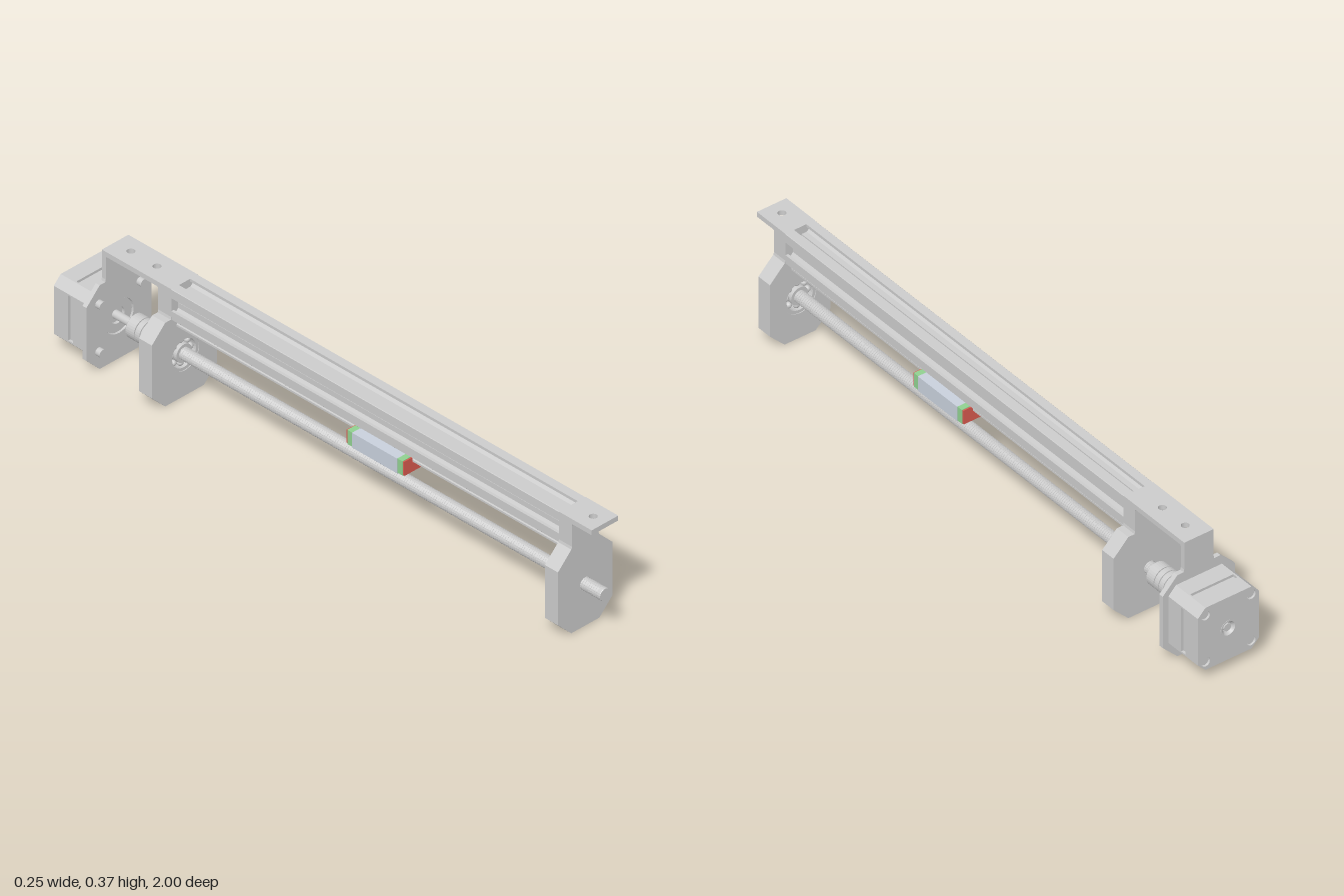
import * as THREE from 'three';

const grey = new THREE.MeshStandardMaterial({ color: 0xcccccc });
const steel = new THREE.MeshStandardMaterial({ color: 0xc8d0dc });
const green = new THREE.MeshStandardMaterial({ color: 0x90d090 });
const red = new THREE.MeshStandardMaterial({ color: 0xd95a50 });
const AXIS = 0.137; // height of the screw axis
const TOP = 0.37;
const TAB = 0.016; // thickness of the mounting tabs

function add(parent, name, geometry, material = grey) {
  const mesh = new THREE.Mesh(geometry, material);
  mesh.name = name;
  parent.add(mesh);
  return mesh;
}

function makeGroup(name) {
  const group = new THREE.Group();
  group.name = name;
  return group;
}

// Extrude a counter-clockwise outline in x,y from z0 to z1; holes are [x, y, radius]
function slab(points, holes, z0, z1) {
  const shape = new THREE.Shape(points.map(([x, y]) => new THREE.Vector2(x, y)));
  for (const [x, y, r] of holes) {
    shape.holes.push(new THREE.Path().absarc(x, y, r, 0, Math.PI * 2, true));
  }
  return new THREE.ExtrudeGeometry(shape, { depth: z1 - z0, bevelEnabled: false, curveSegments: 16 })
    .translate(0, 0, z0);
}

// Horizontal plate with a row of holes of radius r at the given z positions
function flatPlate(w, z0, z1, top, thickness, holes, r) {
  const outline = [[-w, z0], [w, z0], [w, z1], [-w, z1]];
  return slab(outline, holes.map((z) => [0, z, r]), 0, thickness).rotateX(Math.PI / 2).translate(0, top, 0);
}

// Cylinder along z, centred on x,y
function rod(r, z0, z1, x = 0, y = AXIS) {
  return new THREE.CylinderGeometry(r, r, z1 - z0, 24).rotateX(Math.PI / 2).translate(x, y, (z0 + z1) / 2);
}

// Faceted solid of revolution about the screw axis; profile is [radius, z]
function turned(profile, sides = 32) {
  const g = new THREE.LatheGeometry(profile.map(([r, z]) => new THREE.Vector2(r, z)), sides)
    .rotateX(Math.PI / 2).translate(0, AXIS, 0).toNonIndexed();
  g.computeVertexNormals();
  return g;
}

const ring = (a, b, z0, z1) => turned([[a, z0], [b, z0], [b, z1], [a, z1], [a, z0]]);

const mirrored = (half) => [...half, ...half.map(([x, y]) => [-x, y]).reverse()];

// Four copies of one side's points, turned counter-clockwise about the origin
function fourSides(side) {
  const points = [];
  for (let i = 0; i < 4; i++) {
    const c = Math.round(Math.cos(i * Math.PI / 2)), s = Math.round(Math.sin(i * Math.PI / 2));
    for (const [x, y] of side) points.push([x * c - y * s, x * s + y * c]);
  }
  return points;
}

// Octagonal plate with a neck; w is its half width
const plateOutline = (w) => mirrored([
  [w - 0.05, 0], [w, 0.05], [w, 0.222], [w - 0.05, 0.272],
  [0.052, 0.272], [0.05, 0.28], [0.05, TOP - TAB],
]);

// Bearing with open races and visible balls
function bearing(z0, z1) {
  const group = makeGroup('bearing');
  add(group, 'outerRace', ring(0.045, 0.0548, z0, z1));
  add(group, 'innerRace', ring(0.0195, 0.029, z0, z1));
  for (let i = 0; i < 8; i++) {
    const a = i * Math.PI / 4;
    add(group, 'ball', new THREE.SphereGeometry(0.0098, 12, 8)
      .translate(Math.cos(a) * 0.037, AXIS + Math.sin(a) * 0.037, (z0 + z1) / 2));
  }
  return group;
}

// Bearing plate: a thin wall with a shaft hole and a thick wall with the pocket
function bearingPlate(name, w, pocket, wall) {
  const group = makeGroup(name);
  const bolt = [0, 0.32, 0.01];
  add(group, 'pocketWall', slab(plateOutline(w), [[0, AXIS, 0.055], bolt], ...pocket));
  add(group, 'shaftWall', slab(plateOutline(w), [[0, AXIS, 0.0205], bolt], ...wall));
  group.add(bearing(pocket[0] + 0.002, pocket[1] - 0.002));
  return group;
}

// Concave fillet under a tab, growing from a wall at z in direction dir
function fillet(z, dir) {
  const r = 0.006;
  const s = new THREE.Shape();
  s.moveTo(0, 0);
  s.lineTo(0, -r);
  s.quadraticCurveTo(0, 0, r, 0);
  return new THREE.ExtrudeGeometry(s, { depth: 0.1, bevelEnabled: false, curveSegments: 5 })
    .translate(0, 0, -0.05).rotateY(-dir * Math.PI / 2).translate(0, TOP - TAB, z);
}

// Aluminium beam with a T slot in each side and a bore
function beam(z0, z1) {
  const side = [
    [0.0485, 0.05], [0.021, 0.05], [0.021, 0.041], [0.036, 0.041], [0.036, 0.036], [0.022, 0.0245],
    [0.005, 0.0245], [0.005, 0.0205],
  ];
  return slab(fourSides(mirrored(side)), [[0, 0, 0.0105]], z0, z1).translate(0, 0.32, 0);
}

// Guide rail with waisted sides and a row of counterbores
function guideRail() {
  const group = makeGroup('guideRail');
  const outline = mirrored([[0.03, 0.246], [0.027, 0.25], [0.027, 0.256], [0.03, 0.26], [0.03, 0.27]]);
  add(group, 'railBar', slab(outline, [], -0.605, 0.875));
  const holes = Array.from({ length: 12 }, (_, i) => -0.553 + i * 0.125);
  add(group, 'railFace', flatPlate(0.03, -0.605, 0.875, 0.246, 0.006, holes, 0.014));
  return group;
}

// Carriage: a channel section that wraps the rail from below
function carriage() {
  const group = makeGroup('carriage');
  const section = (w, bottom, top, inner) => mirrored([
    [w - 0.003, bottom], [w, bottom + 0.003], [w, top], [inner, top], [inner, 0.238],
  ]);
  add(group, 'carriageBlock', slab(section(0.067, 0.206, 0.257, 0.032), [], 0.102, 0.274), steel);
  for (const [a, b] of [[0.083, 0.102], [0.274, 0.293]]) {
    add(group, 'endCap', slab(section(0.066, 0.208, 0.257, 0.032), [], a, b), green);
  }
  for (const [a, b] of [[0.079, 0.083], [0.293, 0.297]]) {
    add(group, 'endSeal', slab(section(0.064, 0.209, 0.255, 0.031), [], a, b), red);
  }
  for (const x of [-0.05, 0.05]) for (const z of [0.138, 0.238]) {
    add(group, 'carriageBolt', new THREE.CylinderGeometry(0.007, 0.007, 0.002, 12).translate(x, 0.2055, z));
  }
  return group;
}

// Threaded screw with a plain chamfered tip
function leadScrew() {
  const profile = [[0, -0.7], [0.016, -0.7]];
  for (let z = -0.696; z < 0.985; z += 0.008) profile.push([0.0165, z], [0.0195, z + 0.0025], [0.0195, z + 0.0045]);
  profile.push([0.0195, 0.998], [0.0185, 1], [0, 1]);
  return turned(profile, 18);
}

// Flexible coupling with narrow slits
function coupling() {
  const profile = [[0, -0.795], [0.035, -0.795], [0.037, -0.793]];
  for (const z of [-0.76, -0.74, -0.72]) {
    profile.push([0.037, z - 0.0015], [0.031, z - 0.0015], [0.031, z + 0.0015], [0.037, z + 0.0015]);
  }
  profile.push([0.037, -0.687], [0.035, -0.685], [0, -0.685]);
  return turned(profile);
}

function motor() {
  const group = makeGroup('motor');
  const corners = [-1, 1].flatMap((x) => [-1, 1].map((y) => [x * 0.0775, y * 0.0775]));
  const section = (side, holes, z0, z1) => slab(fourSides(side), holes, z0, z1).translate(0, AXIS, 0);
  const cover = [[0.078, 0.104], [-0.078, 0.104]];
  const grooved = mirrored([[0.078, 0.104], [0.073, 0.104], [0.073, 0.096]]);
  add(group, 'frontCover', section(cover, [], -0.926, -0.87));
  add(group, 'motorCore', section(grooved, [], -0.944, -0.926));
  add(group, 'backCover', section(cover, [...corners.map(([x, y]) => [x, y, 0.015]), [0, 0, 0.027]], -0.999, -0.944));
  add(group, 'pilotBoss', ring(0.026, 0.053, -0.872, -0.86));
  add(group, 'motorShaft', rod(0.0125, -0.872, -0.79));
  add(group, 'rearBearing', turned([[0.013, -0.99], [0.022, -1], [0.027, -1], [0.027, -0.99], [0.013, -0.99]]));
  add(group, 'rearShaft', rod(0.012, -0.995, -0.95));
  for (const [x, y] of corners) {
    add(group, 'rearScrew', rod(0.013, -0.994, -0.95, x, AXIS + y));
    add(group, 'mountScrew', rod(0.0125, -0.856, -0.838, x, AXIS + y));
  }
  return group;
}

export function createModel() {
  const model = makeGroup('linearActuator');

  add(model, 'beam', beam(-0.605, 0.875));
  model.add(guideRail(), carriage());

  // Front support
  model.add(bearingPlate('frontPlate', 0.103, [0.875, 0.91], [0.91, 0.925]));
  add(model, 'frontTab', flatPlate(0.05, 0.875, 1, TOP, TAB, [0.955], 0.012));
  add(model, 'frontFillet', fillet(0.925, 1));

  // Rear support and motor bracket
  model.add(bearingPlate('rearPlate', 0.123, [-0.64, -0.605], [-0.655, -0.64]));
  add(model, 'rearTab', flatPlate(0.05, -0.87, -0.605, TOP, TAB, [-0.71, -0.81], 0.012));
  add(model, 'rearFillet', fillet(-0.655, -1));
  add(model, 'motorPlateFillet', fillet(-0.855, 1));
  add(model, 'motorPlate', slab(plateOutline(0.123), [[0, AXIS, 0.055]], -0.87, -0.855));

  // Drive train
  add(model, 'leadScrew', leadScrew());
  add(model, 'coupling', coupling());
  model.add(motor());
  return model;
}
